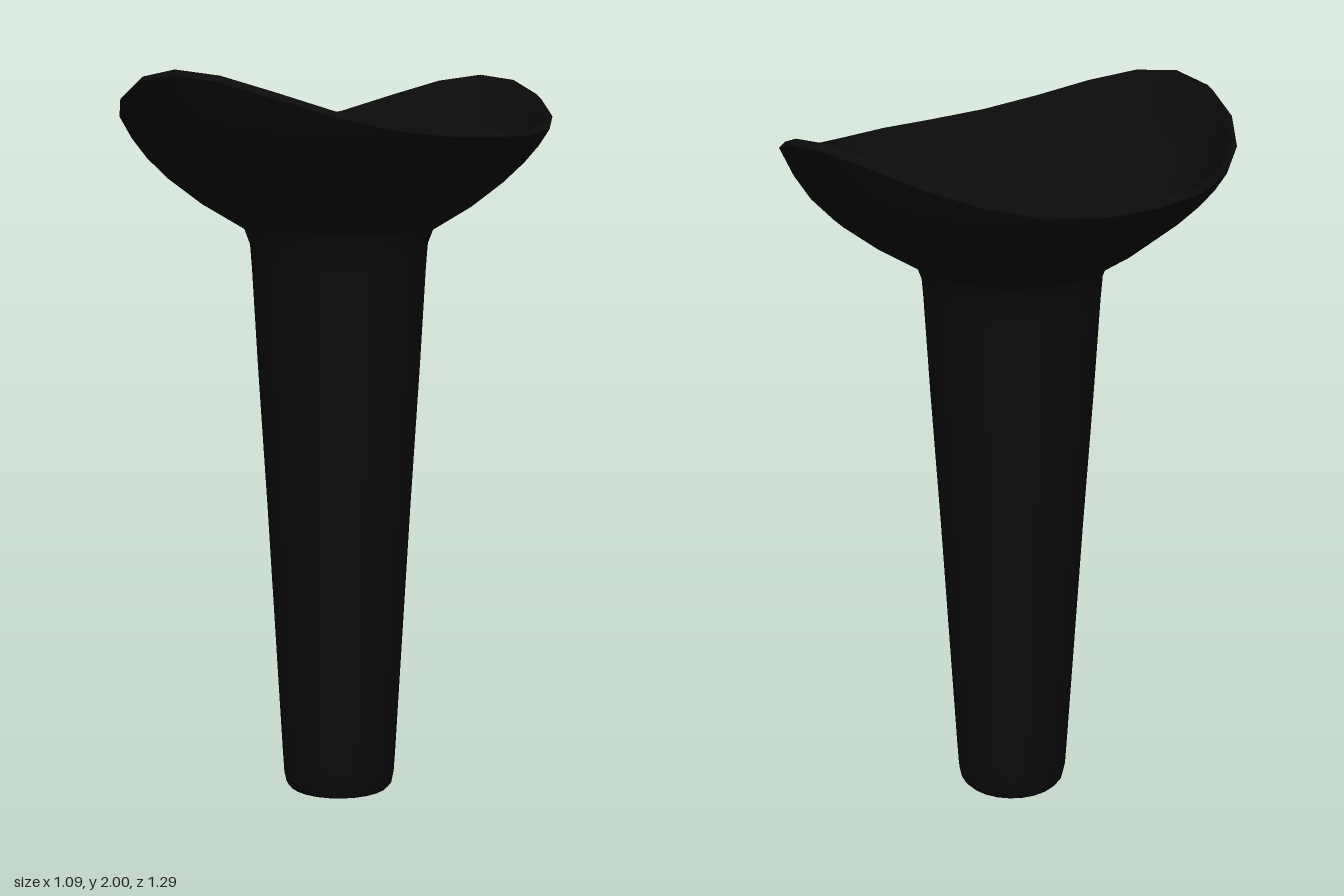
import * as THREE from 'three';

const SIDES = 24;

// Skin over elliptical rings: [x radius, z radius, height at x ends, height at z ends]
function loft(rings, material, name) {
  const positions = [], index = [];
  for (const [rx, rz, yx, yz] of rings) {
    for (let j = 0; j < SIDES; j++) {
      const t = (j / SIDES) * Math.PI * 2;
      const lift = Math.pow(Math.abs(Math.sin(t)), 3.2);
      positions.push(rx * Math.cos(t), yx + (yz - yx) * lift, rz * Math.sin(t));
    }
  }
  for (let i = 0; i < rings.length - 1; i++) {
    for (let j = 0; j < SIDES; j++) {
      const k = (j + 1) % SIDES;
      const a = i * SIDES + j, b = i * SIDES + k;
      const c = a + SIDES, d = b + SIDES;
      index.push(a, c, b, b, c, d);
    }
  }
  const geometry = new THREE.BufferGeometry();
  geometry.setAttribute('position', new THREE.Float32BufferAttribute(positions, 3));
  geometry.setIndex(index);
  geometry.computeVertexNormals();
  const mesh = new THREE.Mesh(geometry, material);
  mesh.name = name;
  return mesh;
}

const round = ([r, y]) => [r, r, y, y];

export function createModel() {
  const group = new THREE.Group();
  group.name = 'flaredCup';
  const black = new THREE.MeshStandardMaterial({ color: 0x0b0b0b, side: THREE.DoubleSide });
  black.name = 'black';

  // Hollow tapered stem: outside, bottom to neck; a repeated ring keeps the foot crisp
  const stemOutside = [
    [0, 0], [0.14, 0], [0.14, 0], [0.15, 0.012], [0.156, 0.04], [0.16, 0.1],
    [0.2, 0.8], [0.225, 1.2], [0.24, 1.47], [0.245, 1.535], [0.26, 1.575],
  ];
  // Inside wall, neck down to the floor
  const stemInside = [
    [0.265, 1.605], [0.237, 1.56], [0.226, 1.47], [0.211, 1.2], [0.187, 0.8],
    [0.148, 0.1], [0.14, 0.03], [0.14, 0.03], [0, 0.025],
  ];
  group.add(loft(stemOutside.map(round), black, 'stemOutside'));
  group.add(loft(stemInside.map(round), black, 'stemInside'));

  // Oval saddle-shaped bowl, underside out to the rim
  const rim = [0.545, 0.645, 1.83, 1.985];
  const lip = [0.53, 0.628, 1.845, 2.0];
  group.add(loft([
    [0.26, 0.26, 1.575, 1.578],
    [0.35, 0.4, 1.635, 1.665],
    [0.43, 0.5, 1.7, 1.74],
    [0.485, 0.56, 1.752, 1.805],
    [0.52, 0.605, 1.792, 1.885],
    rim,
  ], black, 'bowlUnderside'));
  group.add(loft([rim, lip], black, 'rim'));

  // Dish of the bowl, rim down to the stem opening
  group.add(loft([
    lip,
    [0.515, 0.61, 1.828, 1.965],
    [0.495, 0.575, 1.79, 1.88],
    [0.46, 0.535, 1.755, 1.815],
    [0.41, 0.475, 1.71, 1.753],
    [0.335, 0.38, 1.652, 1.682],
    [0.265, 0.265, 1.605, 1.605],
  ], black, 'bowlDish'));

  return group;
}
